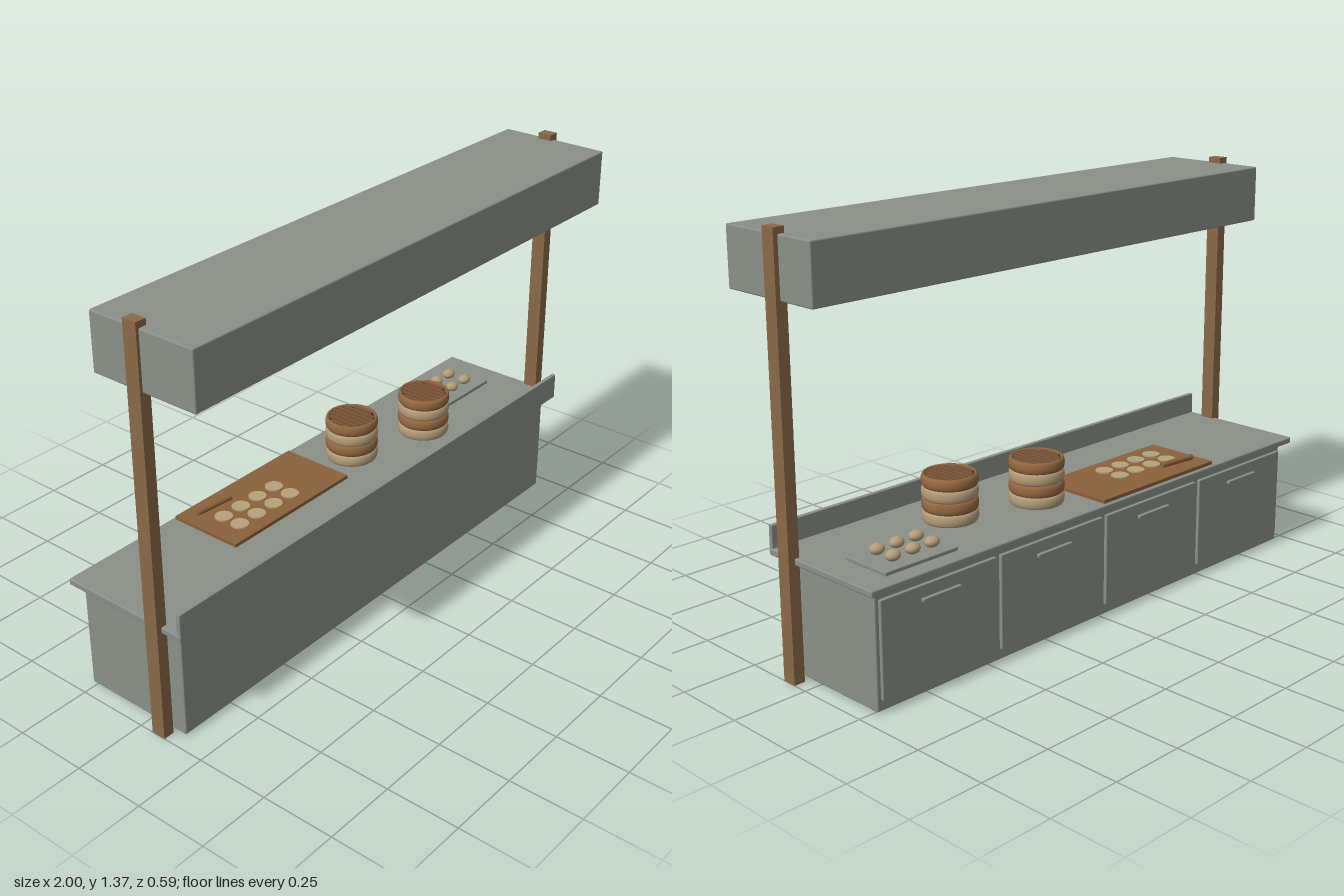
import * as THREE from 'three';
import { RoundedBoxGeometry } from 'three/addons/geometries/RoundedBoxGeometry.js';

const mat = (name, color, side = THREE.FrontSide) => {
  const m = new THREE.MeshStandardMaterial({ color, side });
  m.name = name;
  return m;
};

export function createModel() {
  const steel = mat('greySteel', 0x8a9088);
  const wood = mat('postWood', 0x8b6844);
  const boardWood = mat('boardWood', 0x8a6239);
  const bamboo = mat('brownBamboo', 0x94683f, THREE.DoubleSide);
  const paleBamboo = mat('paleBamboo', 0xb39c76, THREE.DoubleSide);
  const slatWood = mat('slatWood', 0x7a5434);
  const darkWood = mat('darkWood', 0x402c1c);
  const dough = mat('dough', 0xb5a27c);

  const model = new THREE.Group();
  model.name = 'foodStall';

  const add = (name, geo, material, x, y, z, parent = model) => {
    const mesh = new THREE.Mesh(geo, material);
    mesh.name = name;
    mesh.position.set(x, y, z);
    parent.add(mesh);
    return mesh;
  };
  // Box given by its limits on each axis, with softened edges when r > 0
  const box = (name, material, [x0, x1], [y0, y1], [z0, z1], r = 0) => {
    const size = [x1 - x0, y1 - y0, z1 - z0];
    const geo = r ? new RoundedBoxGeometry(...size, 2, r) : new THREE.BoxGeometry(...size);
    return add(name, geo, material, (x0 + x1) / 2, (y0 + y1) / 2, (z0 + z1) / 2);
  };

  // Cabinet, worktop, splash guard and canopy
  box('cabinet', steel, [-0.95, 0.945], [0.005, 0.375], [-0.265, 0.142], 0.005);
  box('worktop', steel, [-0.982, 0.978], [0.375, 0.397], [-0.295, 0.175], 0.005);
  box('splashGuard', steel, [-0.98, 0.976], [0.39, 0.47], [0.16, 0.175], 0.003);
  box('canopy', steel, [-0.99, 0.985], [1.16, 1.35], [-0.092, 0.295], 0.005);

  // Posts at both ends
  for (const [name, s] of [['leftPost', 1], ['rightPost', -1]]) {
    box(name, wood, [s * 0.981 - 0.019, s * 0.981 + 0.019], [0, 1.37], [0.05, 0.1]);
  }

  // Four cupboard doors on the serving side, each with a bar handle
  for (let i = 0; i < 4; i++) {
    const x = -0.0025 + (i - 1.5) * 0.472;
    box('door', steel, [x - 0.226, x + 0.226], [0.04, 0.35], [-0.276, -0.263], 0.003);
    box('doorHandle', steel, [x - 0.075, x + 0.075], [0.299, 0.311], [-0.287, -0.274], 0.003);
  }

  // Stacks of steamer baskets: rounded rings topped by a recessed slatted lid
  const tier = 0.0385;
  const ring = new THREE.LatheGeometry([
    [0.078, 0], [0.085, 0.001], [0.0885, 0.007], [0.09, 0.018], [0.0885, 0.03],
    [0.085, 0.0375], [0.08, 0.0385], [0.078, 0.034], [0.078, 0],
  ].map(([r, y]) => new THREE.Vector2(r, y)), 32);
  const basketStack = (x, z) => {
    const stack = new THREE.Group();
    stack.name = 'basketStack';
    stack.position.set(x, 0.397, z);
    for (let i = 0; i < 4; i++) {
      add('basketRing', ring, i % 2 ? bamboo : paleBamboo, 0, i * tier, 0, stack);
    }
    add('lidBase', new THREE.CylinderGeometry(0.079, 0.079, 0.006, 32), darkWood, 0, 4 * tier - 0.012, 0, stack);
    for (let i = -3; i <= 3; i++) {
      const sx = i * 0.021;
      const length = 2 * Math.sqrt(0.079 ** 2 - (Math.abs(sx) + 0.006) ** 2);
      add('lidSlat', new THREE.BoxGeometry(0.012, 0.006, length), slatWood, sx, 4 * tier - 0.006, 0, stack);
    }
    model.add(stack);
  };
  basketStack(0.14, -0.11);
  basketStack(0.44, -0.03);

  // Pastry board with rolled dough rounds and a small rolling pin
  box('pastryBoard', boardWood, [-0.54, 0.008], [0.396, 0.409], [-0.283, -0.02]);
  const round = new THREE.CylinderGeometry(0.03, 0.03, 0.005, 20);
  for (let i = 0; i < 4; i++) {
    for (const z of [-0.16, -0.09]) add('doughRound', round, dough, -0.445 + i * 0.08, 0.411, z);
  }
  const pin = add('rollingPin', new THREE.CylinderGeometry(0.01, 0.01, 0.14, 12), boardWood, -0.427, 0.422, -0.22);
  pin.rotation.set(0, -0.1, Math.PI / 2);

  // Tray of buns
  box('tray', steel, [0.6, 0.88], [0.396, 0.409], [-0.24, -0.06], 0.003);
  const bun = new THREE.SphereGeometry(0.025, 20, 14).scale(1, 0.68, 0.85);
  for (let i = 0; i < 3; i++) {
    for (const z of [-0.185, -0.114]) add('bun', bun, paleBamboo, 0.655 + i * 0.075, 0.425, z);
  }

  return model;
}
